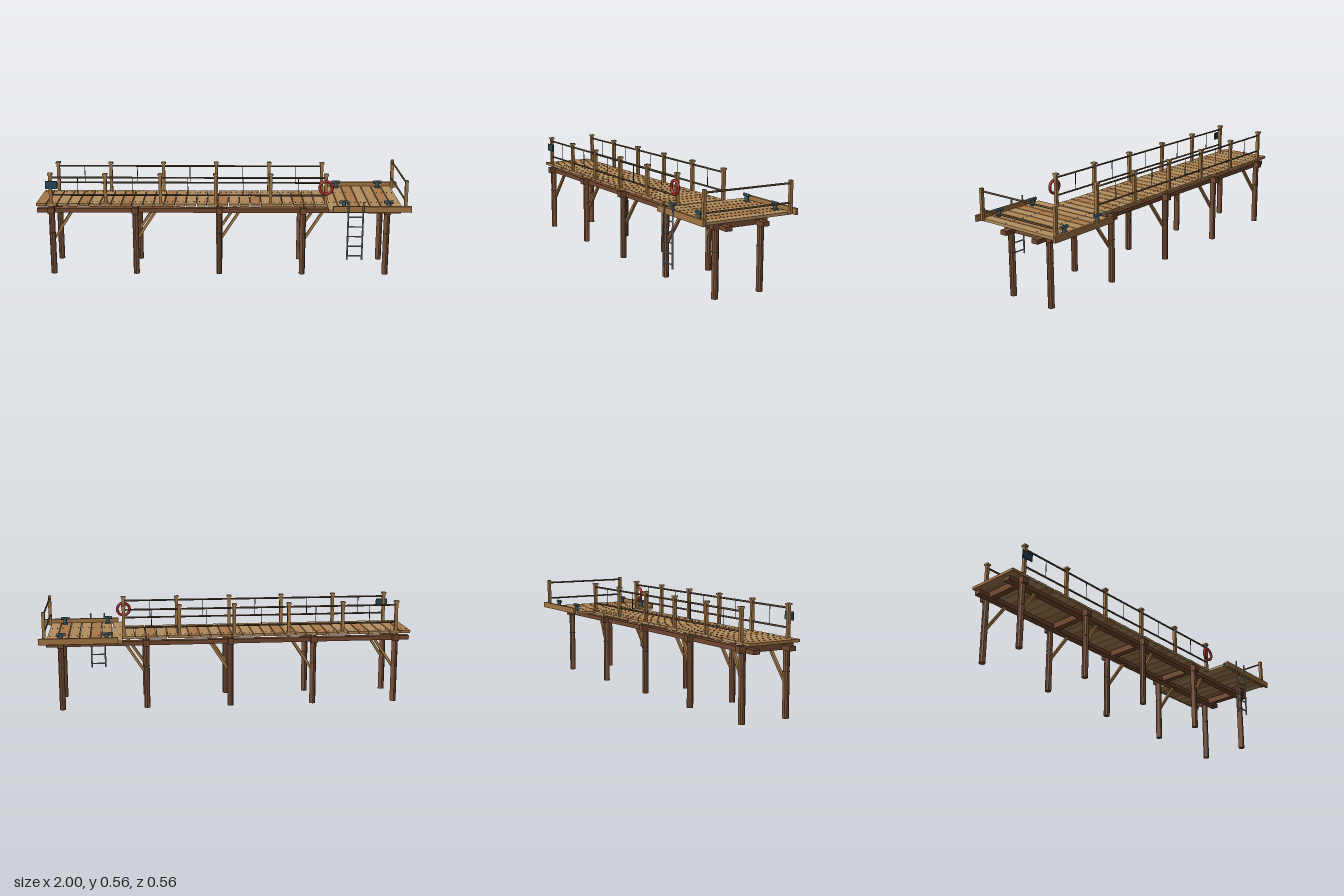
import * as THREE from 'three';

const mat = (color, flatShading = false) => new THREE.MeshStandardMaterial({ color, flatShading });
const M = {
  pile: mat(0x7a5238, true), beam: mat(0x74492f), plank: mat(0xb58f60), plankDark: mat(0xa97a4a),
  plankLight: mat(0xb08858), post: mat(0xa67845), rail: mat(0x5e4a33), steel: mat(0x909396),
  teal: mat(0x3c5a62), red: mat(0xa82a2c), dark: mat(0x33302c), sign: mat(0x24475c),
};
const CZ = -0.005; // centre line of the pier
const SIDES = [1, -1];
const UP = new THREE.Vector3(0, 1, 0);

export function createModel() {
  const root = new THREE.Group();
  const group = (name) => {
    const g = new THREE.Group();
    g.name = name;
    root.add(g);
    return g;
  };
  const add = (parent, name, geo, material, x, y, z) => {
    const m = new THREE.Mesh(geo, material);
    m.name = name;
    m.position.set(x, y, z);
    parent.add(m);
    return m;
  };
  const box = (parent, name, material, w, h, d, x, y, z) =>
    add(parent, name, new THREE.BoxGeometry(w, h, d), material, x, y, z);
  // member running between two points, round (sides > 4) or square
  const bar = (parent, name, material, a, b, r, sides = 8) => {
    const p = new THREE.Vector3(...a), q = new THREE.Vector3(...b);
    const len = p.distanceTo(q);
    const geo = sides === 4 ? new THREE.BoxGeometry(r * 2, len, r * 2) : new THREE.CylinderGeometry(r, r, len, sides);
    const mid = p.clone().add(q).multiplyScalar(0.5);
    const m = add(parent, name, geo, material, mid.x, mid.y, mid.z);
    m.quaternion.setFromUnitVectors(UP, q.sub(p).normalize());
    return m;
  };

  // Substructure: piles, collars, cap beams, braces, stringers
  const base = group('substructure');
  for (let i = 0; i < 5; i++) {
    const x = -0.92 + i * 0.4533;
    box(base, 'capBeam', M.beam, 0.034, 0.034, 0.317, x, 0.36, CZ);
    for (const s of SIDES) {
      const z = CZ + s * 0.131;
      bar(base, 'pile', M.pile, [x, 0, z], [x, 0.384, z], 0.0167, 10);
      bar(base, 'pileCollar', M.dark, [x, 0.23, z], [x, 0.234, z], 0.0176, 10);
      if (i < 4) bar(base, 'brace', M.post, [x + 0.005, 0.19, CZ + s * 0.122], [x + 0.112, 0.352, CZ + s * 0.106], 0.007, 4);
    }
  }
  for (const s of SIDES) box(base, 'stringer', M.beam, 1.97, 0.023, 0.038, -0.015, 0.3545, CZ + s * 0.106);

  // Decking, with slight variation in tone and length
  const planks = (name, count, x0, pitch, depth, darkOnes) => {
    const g = group(name);
    for (let i = 0; i < count; i++) {
      const x = x0 + (i + 0.45) * pitch;
      const shift = Math.sin(i * 2.7) * 0.0015;
      const tone = darkOnes.includes(i) ? M.plankDark : i % 3 === 1 ? M.plankLight : M.plank;
      box(g, 'plank', tone, pitch * 0.92, 0.0145, depth, x, 0.391, CZ + shift);
      for (const s of SIDES) for (const dx of [-0.014, 0.014]) {
        add(g, 'nail', new THREE.CylinderGeometry(0.0025, 0.0025, 0.002, 6), M.dark, x + dx, 0.399, CZ + s * 0.105);
      }
    }
  };
  planks('walkwayDeck', 27, -1, 0.0578, 0.294, [0, 4, 8, 12, 17, 20, 24]);
  planks('platformDeck', 7, 0.567, 0.0572, 0.513, [2, 5]);

  // Walkway railings
  const rails = group('walkwayRailings');
  for (const s of SIDES) {
    const z = CZ + s * 0.139;
    for (let i = 0; i < 6; i++) {
      const x = -0.92 + i * 0.2957;
      box(rails, 'railPost', M.post, 0.0165, 0.17, 0.0165, x, 0.47, z);
      box(rails, 'postCap', M.plank, 0.025, 0.01, 0.025, x, 0.559, z);
      if (i < 5) bar(rails, 'baluster', M.dark, [x + 0.148, 0.445, z], [x + 0.148, 0.541, z], 0.002, 6);
    }
    for (const y of [0.445, 0.541]) bar(rails, 'rail', M.rail, [-0.92, y, z], [0.558, y, z], 0.005);
  }

  // Platform edge curbs and end railing
  const end = group('platformEdge');
  for (const s of SIDES) {
    box(end, 'curb', M.post, 0.412, 0.032, 0.014, 0.794, 0.404, CZ + s * 0.2655);
    box(end, 'endPost', M.post, 0.017, 0.167, 0.016, 0.97, 0.4725, CZ + s * 0.248);
  }
  for (const y of [0.445, 0.541]) bar(end, 'endRail', M.rail, [0.97, y, CZ - 0.245], [0.97, y, CZ + 0.245], 0.005);

  // Mooring cleats
  for (const x of [0.648, 0.885]) for (const s of SIDES) {
    const g = group('mooringCleat');
    const z = CZ + s * 0.2215;
    box(g, 'cleatBase', M.teal, 0.03, 0.005, 0.023, x, 0.4, z);
    bar(g, 'cleatStem', M.teal, [x, 0.4, z], [x, 0.436, z], 0.0105, 12);
    bar(g, 'cleatHorn', M.teal, [x - 0.024, 0.431, z], [x + 0.024, 0.431, z], 0.008, 10);
  }

  // Swim ladder
  const ladder = group('ladder');
  for (const x of [0.667, 0.745]) bar(ladder, 'ladderRail', M.steel, [x, 0.13, 0.273], [x, 0.445, 0.273], 0.0045);
  for (let i = 0; i < 5; i++) {
    const y = 0.152 + i * 0.053;
    bar(ladder, 'rung', M.steel, [0.667, y, 0.273], [0.745, y, 0.273], 0.0038);
  }

  // Life ring on the last post, blank sign on the first
  const ring = group('lifeRing');
  add(ring, 'ring', new THREE.TorusGeometry(0.034, 0.0078, 10, 28), M.red, 0.558, 0.491, 0.147);
  const sign = group('sign');
  box(sign, 'signBoard', M.sign, 0.065, 0.042, 0.006, -0.912, 0.502, 0.146);

  return root;
}
